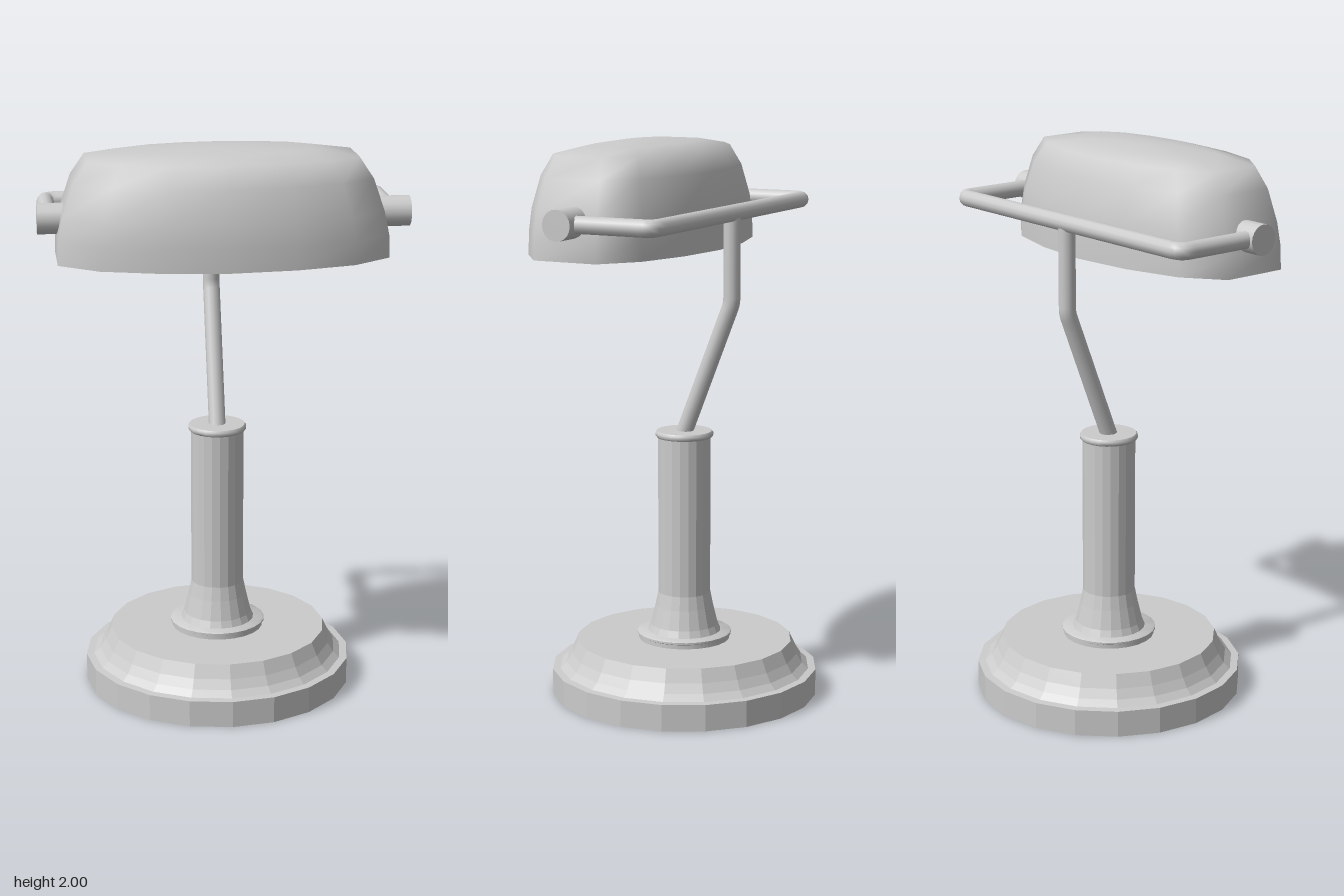
import * as THREE from 'three';
import { mergeGeometries, mergeVertices, toCreasedNormals } from 'three/addons/utils/BufferGeometryUtils.js';

const AXIS_X = -0.01;   // pole and base axis
const SHADE_X = -0.015, SHADE_Z = 0.162;
const PIVOT_Y = 1.752, PIVOT_Z = 0.138;

const grey = new THREE.MeshStandardMaterial({ color: 0xcccccc });
const greyFlat = new THREE.MeshStandardMaterial({ color: 0xcccccc, flatShading: true });

function addMesh(group, name, geometry, material = grey) {
  const mesh = new THREE.Mesh(geometry, material);
  mesh.name = name;
  group.add(mesh);
  return mesh;
}

function lathe(profile, sides) {
  return new THREE.LatheGeometry(profile.map(([r, y]) => new THREE.Vector2(r, y)), sides);
}

// Round rod through the given points, with small rounded bends
function rod(points, radius, bend) {
  const p = points.map((a) => new THREE.Vector3(...a));
  const path = new THREE.CurvePath();
  let start = p[0];
  for (let i = 1; i < p.length - 1; i++) {
    const before = p[i].clone().add(p[i - 1].clone().sub(p[i]).setLength(bend));
    const after = p[i].clone().add(p[i + 1].clone().sub(p[i]).setLength(bend));
    path.add(new THREE.LineCurve3(start, before));
    path.add(new THREE.QuadraticBezierCurve3(before, p[i], after));
    start = after;
  }
  path.add(new THREE.LineCurve3(start, p[p.length - 1]));
  return new THREE.TubeGeometry(path, 120, radius, 12);
}

// Fourteen-sided oval outline of the shade, running from +z towards +x
function shadeOutline() {
  const quarter = [[0, 0.3], [0.226, 0.277], [0.428, 0.221], [0.562, 0.12]];
  const half = [...quarter, ...quarter.map(([x, z]) => [x, -z]).reverse()];
  return [...half, ...half.slice(1, -1).map(([x, z]) => [-x, z]).reverse()];
}

// Skin over scaled copies of an outline; each level is [y, scaleX, scaleZ]
function loft(outline, levels) {
  const n = outline.length, pos = [], index = [];
  for (const [y, sx, sz] of levels) {
    for (const [x, z] of outline) pos.push(x * sx, y, z * sz);
  }
  for (let j = 0; j < levels.length - 1; j++) {
    for (let i = 0; i < n; i++) {
      const a = j * n + i, b = j * n + (i + 1) % n;
      index.push(a, b, b + n, a, b + n, a + n);
    }
  }
  let g = new THREE.BufferGeometry();
  g.setAttribute('position', new THREE.Float32BufferAttribute(pos, 3));
  g.setIndex(index);
  g = mergeVertices(g);
  g.computeVertexNormals();
  return g;
}

function shadeGeometry() {
  const outline = shadeOutline();
  const outer = [
    [1.62, 1, 1], [1.7, 0.995, 0.995], [1.78, 0.965, 0.975], [1.89, 0.9, 0.88],
    [1.962, 0.815, 0.75], [1.985, 0.55, 0.46], [1.996, 0.25, 0.22], [2, 0, 0],
  ];
  const inner = outer.map(([y, sx, sz], i) => [
    i ? y - 0.012 : y, Math.max(0, sx - 0.02), Math.max(0, sz - 0.035),
  ]);
  return mergeGeometries([
    loft(outline, outer),
    loft(outline, [...inner].reverse()),
    loft(outline, [inner[0], outer[0]]),
  ]);
}

export function createModel() {
  const lamp = new THREE.Group();
  lamp.name = 'deskLamp';

  // Stepped base with a concave shoulder
  addMesh(lamp, 'base', lathe([
    [0, 0], [0.482, 0], [0.482, 0.095], [0.455, 0.097],
    [0.432, 0.118], [0.412, 0.15], [0.39, 0.197], [0, 0.197],
  ], 20), greyFlat).position.x = AXIS_X;

  // Collar between base and column
  addMesh(lamp, 'collar', toCreasedNormals(lathe([
    [0.165, 0.19], [0.165, 0.212], [0.171, 0.215], [0.171, 0.222], [0.165, 0.226], [0, 0.226],
  ], 24), 0.6)).position.x = AXIS_X;

  // Column flaring out at the foot
  addMesh(lamp, 'column', lathe([
    [0.134, 0.222], [0.122, 0.25], [0.105, 0.32], [0.095, 0.37], [0.095, 0.95],
  ], 20), greyFlat).position.x = AXIS_X;

  // Rounded cap on the column
  addMesh(lamp, 'columnCap', toCreasedNormals(lathe([
    [0.09, 0.94], [0.099, 0.942], [0.104, 0.948], [0.104, 0.958], [0.099, 0.965], [0, 0.965],
  ], 24), 0.8)).position.x = AXIS_X;

  // Bent stem rising behind the shade
  addMesh(lamp, 'stem', rod([
    [AXIS_X, 0.92, 0.015], [AXIS_X, 1.435, -0.187], [AXIS_X, PIVOT_Y, -0.187],
  ], 0.03, 0.02));

  // Yoke: back bar with an arm to each pivot
  const left = AXIS_X + 0.591, right = AXIS_X - 0.591;
  addMesh(lamp, 'yoke', rod([
    [right, PIVOT_Y, PIVOT_Z], [right, PIVOT_Y, -0.191],
    [left, PIVOT_Y, -0.191], [left, PIVOT_Y, PIVOT_Z],
  ], 0.03, 0.035));

  // Pivot knobs passing through the shade ends
  for (const side of [-1, 1]) {
    const knob = addMesh(lamp, side > 0 ? 'leftKnob' : 'rightKnob',
      new THREE.CylinderGeometry(0.053, 0.053, 0.13, 20));
    knob.rotation.z = Math.PI / 2;
    knob.position.set(side * 0.575, PIVOT_Y, PIVOT_Z);
  }

  // Oval shade, open underneath
  addMesh(lamp, 'shade', shadeGeometry()).position.set(SHADE_X, 0, SHADE_Z);

  return lamp;
}
